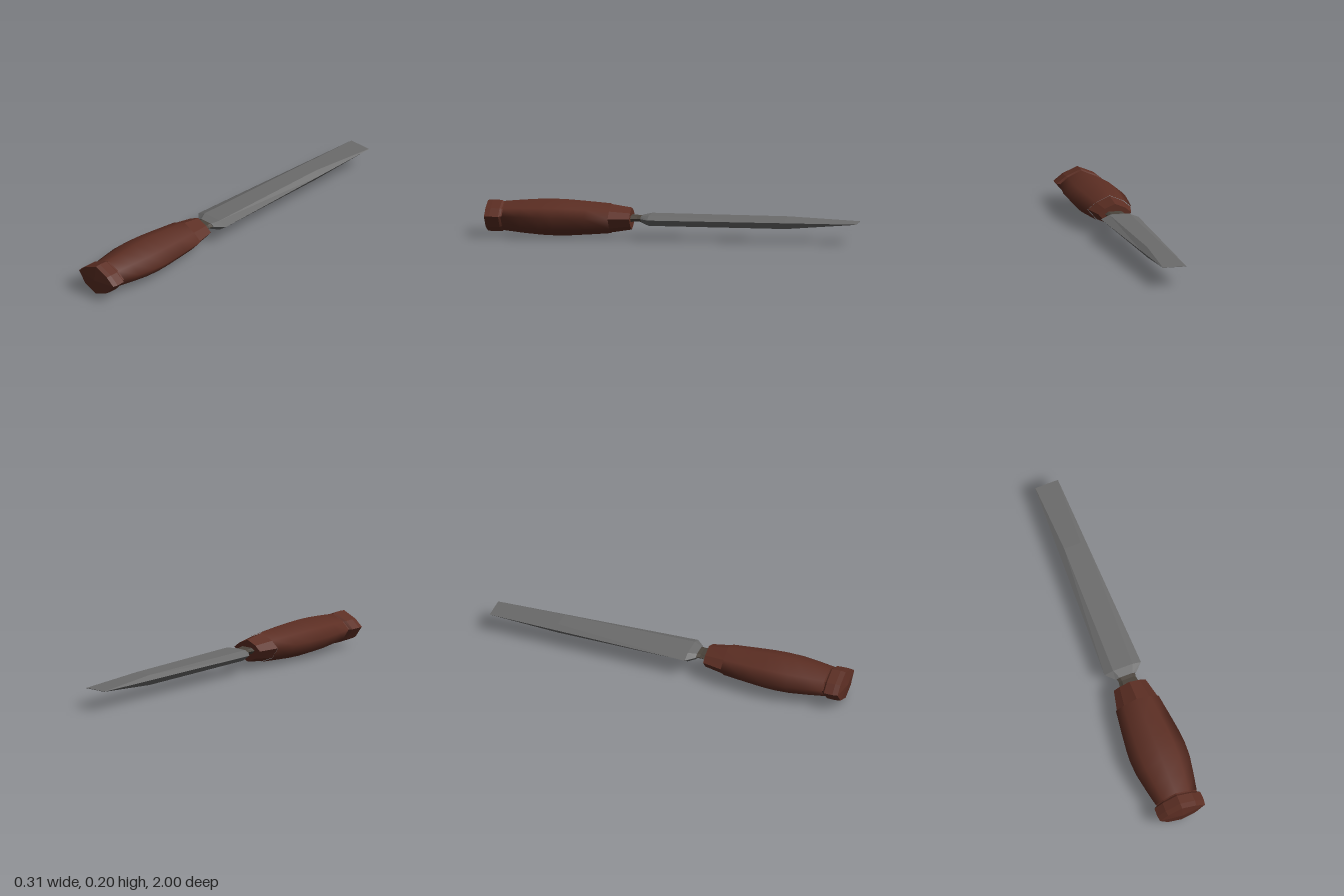
import * as THREE from 'three';

const brown = new THREE.MeshStandardMaterial({ color: 0x5c2e23 });
brown.name = 'stained wood';
const steel = new THREE.MeshStandardMaterial({ color: 0x6b6b6b });
steel.name = 'steel';
const dark = new THREE.MeshStandardMaterial({ color: 0x4a433b });
dark.name = 'dark tang';

// Joins equal-sized rings (counter-clockwise seen from +z, z increasing) and closes both ends
function loft(rings, smooth = false, dome = 0) {
  const n = rings[0].length;
  const side = [];
  for (let i = 0; i < rings.length - 1; i++) {
    for (let j = 0; j < n; j++) {
      const a = i * n + j, b = i * n + (j + 1) % n;
      side.push(a, b, b + n, a, b + n, a + n);
    }
  }
  const points = rings.flat();
  const last = points.length - n;
  if (!smooth) {
    // end caps, the rear one slightly domed if asked
    const centre = (ring, dz) => {
      const c = ring.reduce((s, p) => s.add(p), new THREE.Vector3()).divideScalar(n);
      c.z += dz;
      return c;
    };
    points.push(centre(rings[0], 0), centre(rings[rings.length - 1], dome));
    for (let j = 0; j < n; j++) {
      const k = (j + 1) % n;
      side.push(last + n, k, j, last + n + 1, last + j, last + k);
    }
  }
  let geometry = new THREE.BufferGeometry().setFromPoints(points);
  geometry.setIndex(side);
  if (!smooth) geometry = geometry.toNonIndexed();
  geometry.computeVertexNormals();
  return geometry;
}

// Flattened eight-sided handle section, scaled at each station
const section = [[0.155, 0.007], [0.095, 0.052], [-0.003, 0.092], [-0.1, 0.052],
  [-0.155, 0.007], [-0.1, -0.066], [-0.004, -0.105], [0.09, -0.066]];
const handleRing = ([z, sx, sy]) =>
  section.map(([x, y]) => new THREE.Vector3(x * sx, 0.108 + y * sy, z));

// Six-sided steel section: side edges, flat top and flat bottom
const steelRing = ([z, w, flat, top, bottom, mid = 0.11]) =>
  [[w, mid], [flat, top], [-flat, top], [-w, mid], [-flat, bottom], [flat, bottom]]
    .map(([x, y]) => new THREE.Vector3(x, y, z));

export function createModel() {
  const group = new THREE.Group();
  const add = (name, geometry, material) => {
    const mesh = new THREE.Mesh(geometry, material);
    mesh.name = name;
    group.add(mesh);
  };

  // barrel-shaped grip, smooth all round
  const grip = [[0.325, 0.78, 0.81], [0.45, 0.89, 0.91], [0.55, 0.97, 0.98], [0.62, 1, 1],
    [0.7, 0.98, 0.98], [0.8, 0.87, 0.9], [0.895, 0.75, 0.8]];
  add('handleGrip', loft(grip.map(handleRing), true), brown);

  // faceted collar at the blade end
  add('handleCollar', loft([[0.215, 0.58, 0.6], [0.33, 0.75, 0.78]].map(handleRing)), brown);

  // faceted butt with a groove before it
  const butt = [[0.885, 0.73, 0.78], [0.902, 0.74, 0.78], [0.912, 0.84, 0.85], [0.96, 0.85, 0.86],
    [0.988, 0.82, 0.83]];
  add('handleButt', loft(butt.map(handleRing), false, 0.012), brown);

  // narrow tang between handle and blade
  add('tang', loft([[0.14, 0.055, 0.035, 0.122, 0.09], [0.18, 0.048, 0.03, 0.12, 0.094],
    [0.225, 0.055, 0.035, 0.124, 0.09]].map(steelRing)), dark);

  // bevelled blade, thinning to a wide straight tip
  const blade = [[-1, 0.065, 0.063, 0.111, 0.109], [-0.62, 0.078, 0.047, 0.13, 0.075],
    [0.115, 0.103, 0.055, 0.13, 0.075], [0.16, 0.058, 0.036, 0.122, 0.09]];
  add('blade', loft(blade.map(steelRing)), steel);

  return group;
}
